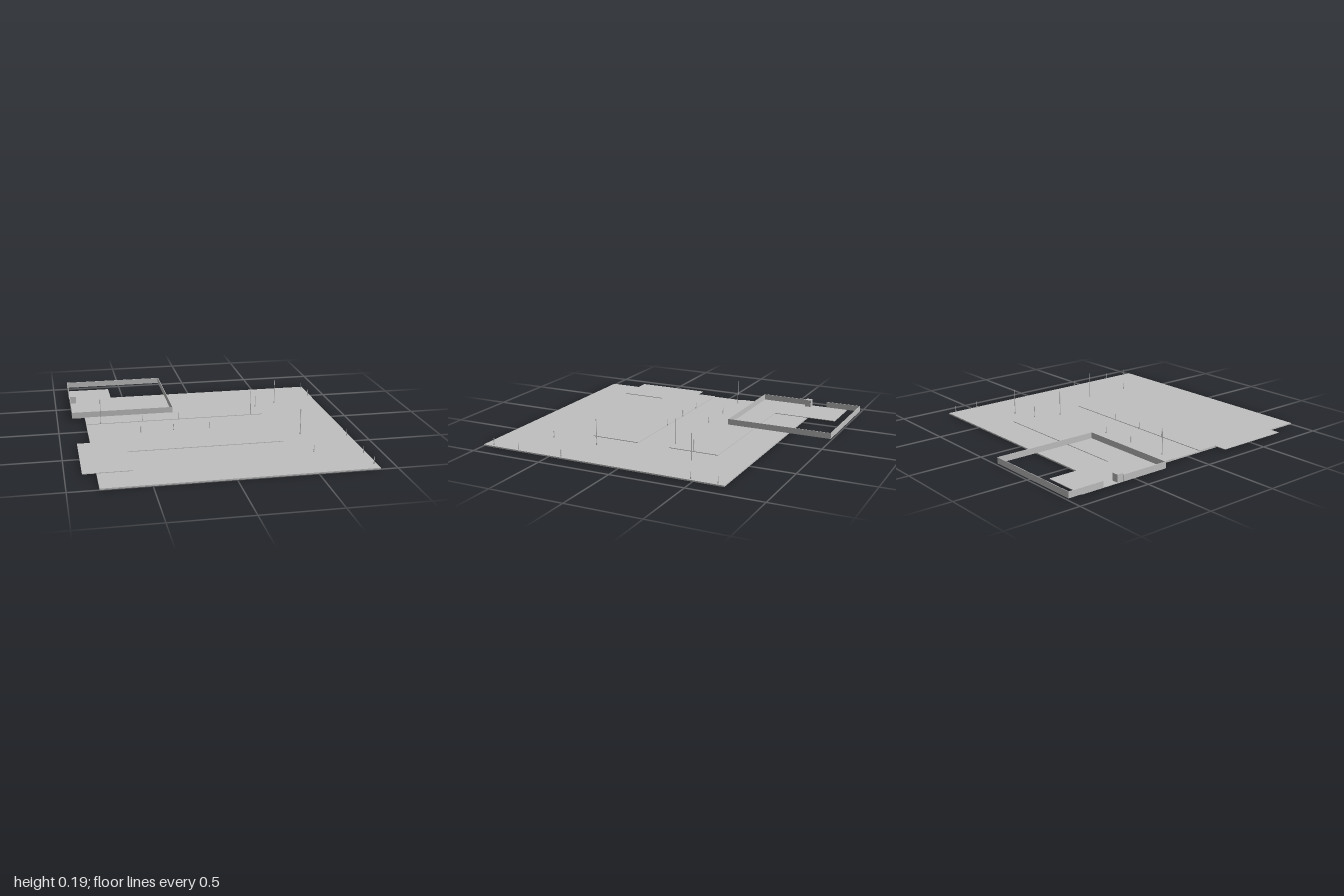
import * as THREE from 'three';

export function createModel() {
  const model = new THREE.Group();
  const grey = new THREE.MeshStandardMaterial({ color: 0xc0c0c0, side: THREE.DoubleSide });
  grey.name = 'light grey';

  const add = (name, geometry, parent = model) => {
    const mesh = new THREE.Mesh(geometry, grey);
    mesh.name = name;
    parent.add(mesh);
    return mesh;
  };
  // Box given by its lower and upper corners
  const box = (name, x0, y0, z0, x1, y1, z1, parent) =>
    add(name, new THREE.BoxGeometry(x1 - x0, y1 - y0, z1 - z0), parent)
      .position.set((x0 + x1) / 2, (y0 + y1) / 2, (z0 + z1) / 2);

  // Ground slab
  box('groundSlab', -0.81, 0, -0.7, 0.89, 0.009, 1);

  // Raised plates, outlined as [x, z]
  const plate = (name, outline) => {
    const shape = new THREE.Shape(outline.map(([x, z]) => new THREE.Vector2(x, -z)));
    const geometry = new THREE.ExtrudeGeometry(shape, { depth: 0.004, bevelEnabled: false });
    geometry.rotateX(-Math.PI / 2);
    add(name, geometry).position.y = 0.009;
  };
  plate('frontPlate', [
    [-0.81, 0.11], [-0.81, 0.25], [-0.895, 0.25], [-0.895, 0.77],
    [-0.59, 0.77], [-0.59, 0.45], [0.43, 0.45], [0.43, 0.11],
  ]);
  plate('backPlate', [
    [-0.81, -0.115], [0.43, -0.115], [0.43, -0.46], [-0.59, -0.46],
    [-0.59, -0.905], [-0.895, -0.905], [-0.895, -0.265], [-0.81, -0.265],
  ]);

  // Low boundary wall with a gate gap on its outer side
  const wall = new THREE.Group();
  wall.name = 'boundaryWall';
  model.add(wall);
  const [x0, x1, z0, z1, y0, y1, t] = [-0.897, -0.188, -1, -0.263, 0.013, 0.053, 0.004];
  box('backWall', x0, y0, z0, x1, y1, z0 + t, wall);
  box('frontWall', x0, y0, z1 - t, x1, y1, z1, wall);
  box('innerWall', x1 - t, y0, z0 + t, x1, y1, z1 - t, wall);
  box('outerWallBack', x0, y0, z0 + t, x0 + t, y1, -0.75, wall);
  box('outerWallFront', x0, y0, -0.6, x0 + t, y1, z1 - t, wall);
  box('gateHut', -0.892, y0, -0.642, -0.85, 0.062, -0.6);

  // Lamp posts: [x, z, top height]
  const posts = [
    [-0.71, -0.12, 0.185], [0.345, -0.12, 0.185], [0.577, -0.345, 0.185], [0.577, 0.335, 0.185],
    [0.42, -0.288, 0.09],
    [-0.42, -0.125, 0.055], [-0.17, -0.125, 0.055],
    [-0.46, 0.108, 0.055], [-0.24, 0.108, 0.055], [0.005, 0.108, 0.055],
    [0.57, 0.667, 0.055],
    [0.872, -0.655, 0.055], [0.872, -0.48, 0.055], [0.872, 0.417, 0.055],
    [0.872, 0.74, 0.055], [0.872, 0.93, 0.055],
  ];
  for (const [x, z, top] of posts) {
    const post = new THREE.Group();
    post.name = 'lampPost';
    post.position.set(x, 0.009, z);
    model.add(post);
    const h = top - 0.009;
    add('postShaft', new THREE.CylinderGeometry(0.0022, 0.0022, h, 8), post).position.y = h / 2;
    add('postBase', new THREE.CylinderGeometry(0.004, 0.004, 0.012, 8), post).position.y = 0.006;
  }

  return model;
}
